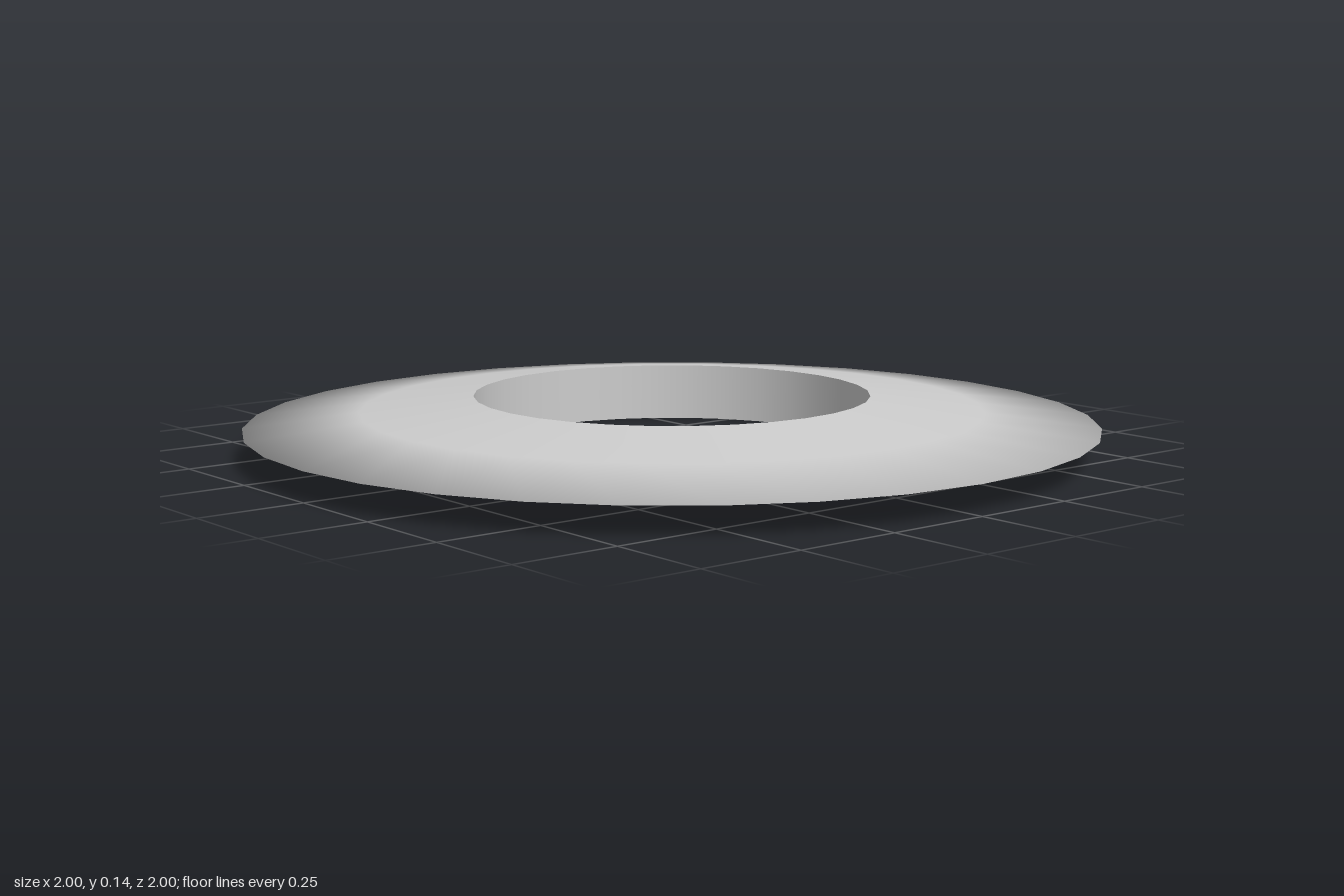
import * as THREE from 'three';

const SEGMENTS = 32;
const INNER = 0.465, MIDDLE = 0.73, OUTER = 1;
const HEIGHT = 0.135;

export function createModel() {
  const group = new THREE.Group();
  group.name = 'ring';
  const material = new THREE.MeshStandardMaterial({ color: 0xcccccc });

  const addLathe = (name, profile) => {
    const points = profile.map(([r, y]) => new THREE.Vector2(r, y));
    const mesh = new THREE.Mesh(new THREE.LatheGeometry(points, SEGMENTS), material);
    mesh.name = name;
    group.add(mesh);
  };

  // Underside, sharp rim and top, shaded smoothly around the rim
  addLathe('taperedBody', [
    [INNER, 0],
    [MIDDLE, HEIGHT * 0.25],
    [OUTER, HEIGHT * 0.5],
    [MIDDLE, HEIGHT * 0.75],
    [INNER, HEIGHT],
  ]);

  // Straight wall of the central hole, facing the axis
  addLathe('holeWall', [[INNER, HEIGHT], [INNER, 0]]);

  return group;
}
